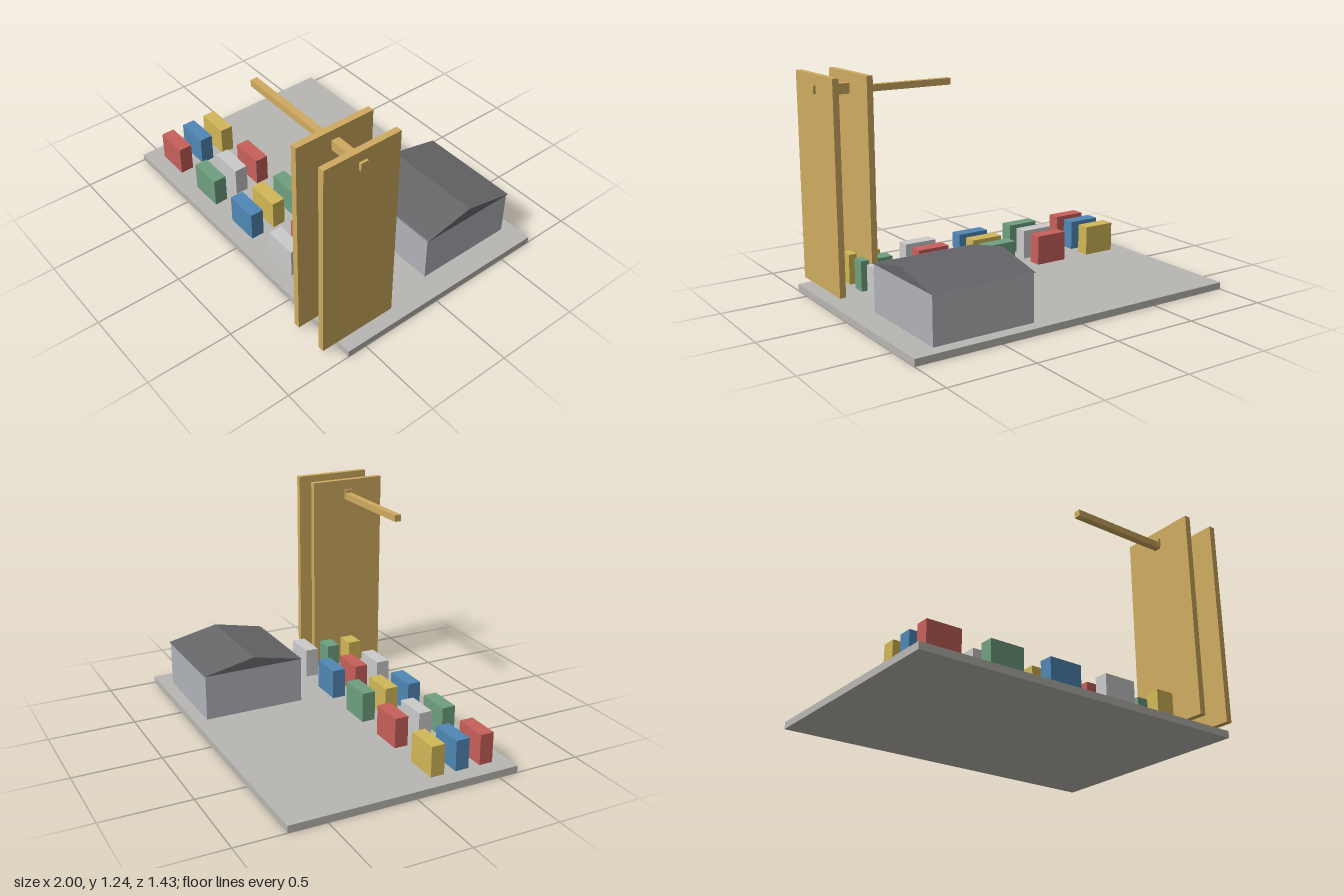
import * as THREE from 'three';

const mat = (color) => new THREE.MeshStandardMaterial({ color, flatShading: true });

// Box given by its minimum and maximum corners
function box(name, material, [x0, y0, z0], [x1, y1, z1]) {
  const mesh = new THREE.Mesh(new THREE.BoxGeometry(x1 - x0, y1 - y0, z1 - z0), material);
  mesh.position.set((x0 + x1) / 2, (y0 + y1) / 2, (z0 + z1) / 2);
  mesh.name = name;
  return mesh;
}

function createWarehouse() {
  const group = new THREE.Group();
  group.name = 'warehouse';
  group.add(box('warehouseWalls', mat(0xb0b3b8), [0.26, 0.04, -0.642], [0.857, 0.31, -0.043]));

  // Gabled roof: triangular section in z-y, extruded along x
  const section = new THREE.Shape();
  section.moveTo(-0.305, 0);
  section.lineTo(0.305, 0);
  section.lineTo(0, 0.065);
  section.closePath();
  const geometry = new THREE.ExtrudeGeometry(section, { depth: 0.61, bevelEnabled: false });
  geometry.translate(0, 0, -0.305);
  geometry.rotateY(Math.PI / 2);
  const roof = new THREE.Mesh(geometry, mat(0x66666a));
  roof.name = 'warehouseRoof';
  roof.position.set(0.558, 0.309, -0.345);
  group.add(roof);
  return group;
}

function createContainers() {
  const group = new THREE.Group();
  group.name = 'containers';
  const materials = {
    red: mat(0xc8605a), green: mat(0x6fa080), blue: mat(0x5088b5),
    grey: mat(0xbcbec0), yellow: mat(0xd2b858),
  };
  // Rows from the quay edge inwards, columns along +x
  const rows = [
    ['red', 'green', 'blue', 'grey', 'yellow'],
    ['blue', 'grey', 'yellow', 'red', 'green'],
    ['yellow', 'red', 'green', 'blue', 'grey'],
  ];
  rows.forEach((row, r) => row.forEach((color, c) => {
    const x = -0.805 + c * 0.3675;
    const z = 0.48 - r * 0.15;
    group.add(box(`${color}Container`, materials[color],
      [x - 0.099, 0.04, z - 0.04], [x + 0.099, 0.215, z + 0.04]));
  }));
  return group;
}

function createCrane() {
  const group = new THREE.Group();
  group.name = 'crane';
  const material = mat(0xcfab60);
  // Two tall slab legs
  for (const x of [0.697, 0.897]) {
    group.add(box('craneLeg', material, [x - 0.018, 0.04, 0.252], [x + 0.018, 1.243, 0.715]));
  }
  // Cross beam through the legs and the long boom
  group.add(box('craneCrossBeam', material, [0.664, 1.138, 0.461], [0.93, 1.184, 0.507]));
  group.add(box('craneBoom', material, [0.065, 1.124, 0.463], [0.862, 1.163, 0.502]));
  return group;
}

export function createModel() {
  const model = new THREE.Group();
  model.name = 'containerPort';
  model.add(
    box('quay', mat(0xb9b7b2), [-1, 0, -0.715], [1, 0.04, 0.615]),
    createWarehouse(),
    createContainers(),
    createCrane(),
  );
  return model;
}
